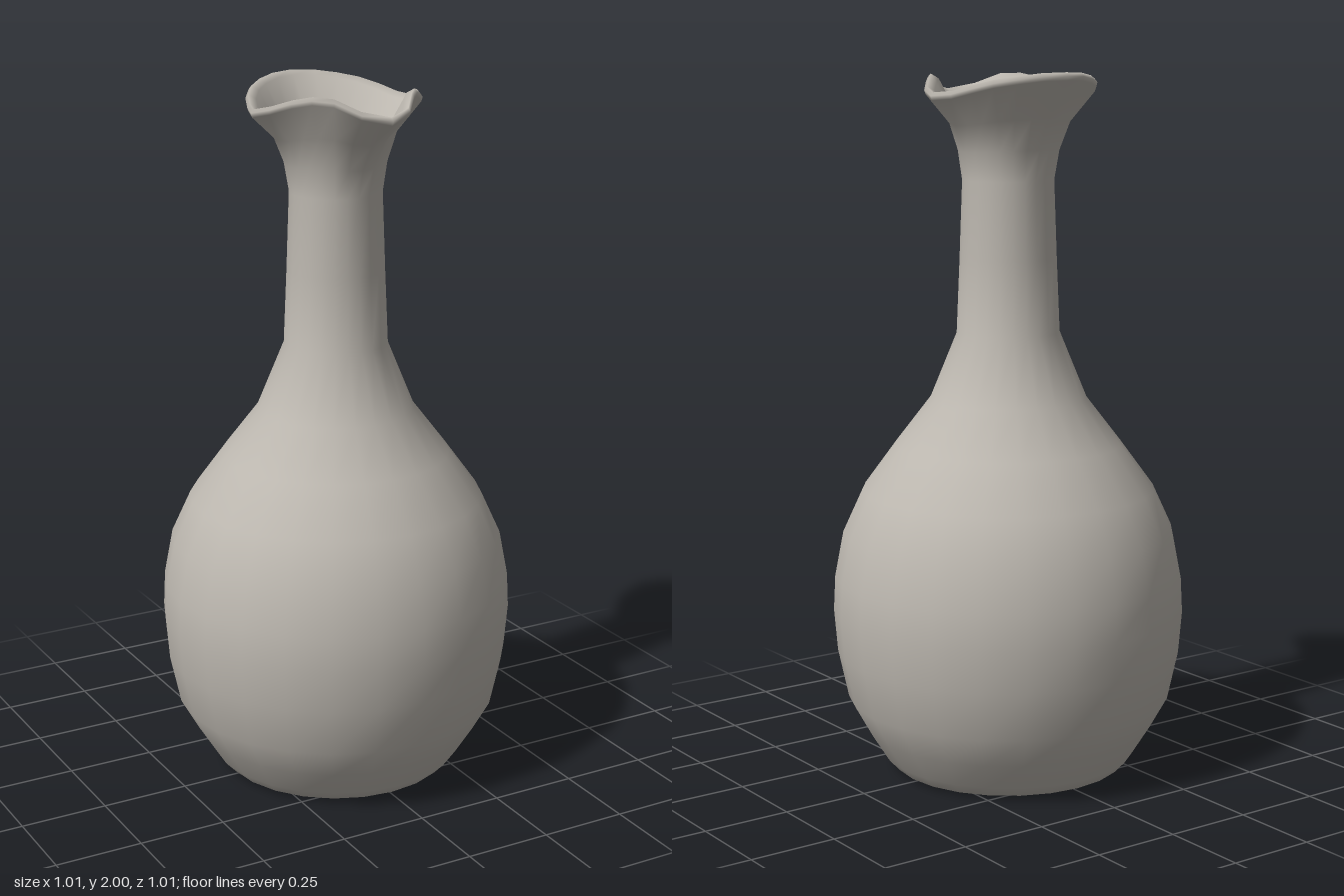
import * as THREE from 'three';

const SIDES = 24;

// Mouth outline every 15 degrees from the front spout round to the back
const rimRadius = [0.31, 0.284, 0.245, 0.229, 0.23, 0.247, 0.26, 0.247, 0.247, 0.25, 0.256, 0.264, 0.275];
const rimHeight = [1.947, 1.962, 1.99, 1.992, 1.98, 1.96, 1.945, 1.95, 1.965, 1.98, 1.99, 1.998, 2.0];

// Round rings: [radius, height]
const outside = [
  [0, 0], [0.3, 0], [0.335, 0.008], [0.365, 0.04], [0.415, 0.12], [0.465, 0.21], [0.495, 0.35],
  [0.505, 0.47], [0.5, 0.57], [0.475, 0.7], [0.42, 0.82], [0.325, 0.95],
  [0.225, 1.08], [0.147, 1.27], [0.138, 1.48], [0.13, 1.7],
];
const inside = [
  [0.108, 1.7], [0.112, 1.48], [0.12, 1.27], [0.2, 1.07], [0.3, 0.93], [0.395, 0.8],
  [0.47, 0.57], [0.475, 0.45], [0.435, 0.21], [0.34, 0.05], [0.29, 0.03], [0, 0.03],
];

// Each ring is a function of the side index, giving [radius, height]
const round = ([r, y]) => () => [r, y];
// Blend from the round neck to the fluted mouth, offset inward and down
const flared = (mix, inset, drop) => (k) => [
  THREE.MathUtils.lerp(0.13, rimRadius[k], mix) - inset,
  THREE.MathUtils.lerp(1.7, rimHeight[k], mix) - drop,
];
const flare = [
  flared(0.12, 0, -0.05),
  flared(0.38, 0, -0.06),
  flared(1, 0.004, 0.022),
  flared(1, 0, 0.01),
  flared(1, 0.008, 0),
  flared(1, 0.03, 0.012),
  flared(0.38, 0.025, -0.055),
  flared(0.12, 0.022, -0.045),
];

// Smooth closed skin through the rings
function skin(rings) {
  const positions = [];
  const indices = [];
  rings.forEach((ring, i) => {
    for (let j = 0; j < SIDES; j++) {
      const angle = (j / SIDES) * Math.PI * 2;
      const [r, y] = ring(Math.min(j, SIDES - j));
      positions.push(r * Math.sin(angle), y, r * Math.cos(angle));
      if (i === 0) continue;
      const next = (j + 1) % SIDES;
      const a = (i - 1) * SIDES + j;
      const b = (i - 1) * SIDES + next;
      const c = i * SIDES + next;
      const d = i * SIDES + j;
      if (i > 1) indices.push(a, b, c);
      if (i < rings.length - 1) indices.push(a, c, d);
      else indices.push(a, b, d);
    }
  });
  const geometry = new THREE.BufferGeometry();
  geometry.setAttribute('position', new THREE.Float32BufferAttribute(positions, 3));
  geometry.setIndex(indices);
  geometry.computeVertexNormals();
  return geometry;
}

export function createModel() {
  const clay = new THREE.MeshStandardMaterial({ color: 0xbdb8b0 });
  clay.name = 'warm grey clay';

  // Bulbous body, neck, fluted mouth and hollow interior as one skin
  const vase = new THREE.Mesh(skin([...outside.map(round), ...flare, ...inside.map(round)]), clay);
  vase.name = 'vase';

  const group = new THREE.Group();
  group.name = 'flutedVase';
  group.add(vase);
  return group;
}
